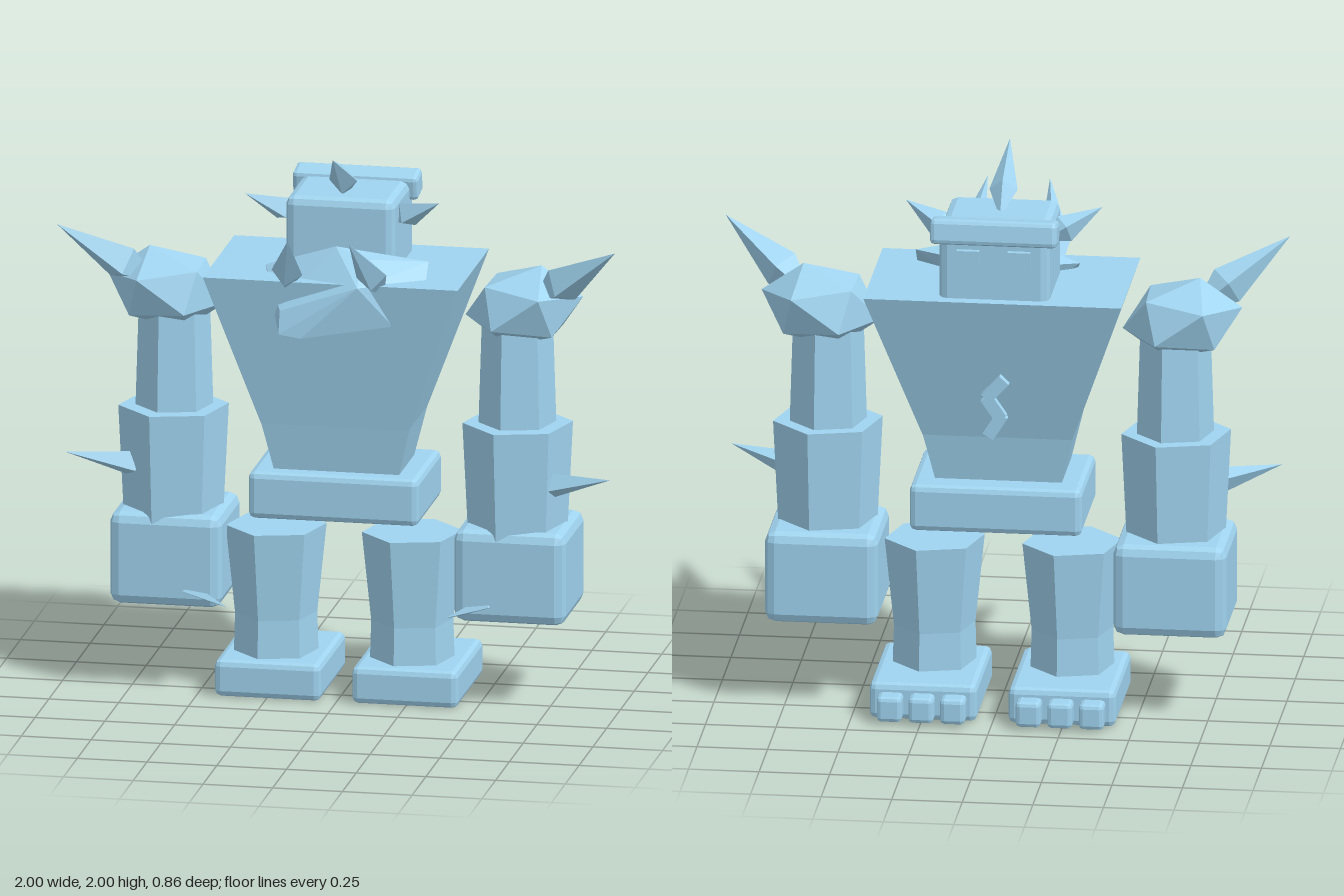
import * as THREE from 'three';
import { RoundedBoxGeometry } from 'three/addons/geometries/RoundedBoxGeometry.js';
import { ConvexGeometry } from 'three/addons/geometries/ConvexGeometry.js';

export function createModel() {
  const model = new THREE.Group();
  model.name = 'stoneGolem';
  const stone = new THREE.MeshStandardMaterial({ color: 0xa0d4f0, flatShading: true });
  const V = (x, y, z) => new THREE.Vector3(x, y, z);

  function add(name, geometry, x = 0, y = 0, z = 0) {
    const mesh = new THREE.Mesh(geometry, stone);
    mesh.name = name;
    mesh.position.set(x, y, z);
    model.add(mesh);
    return mesh;
  }

  // Chamfered block
  const block = (name, w, h, d, bevel, x, y, z) =>
    add(name, new RoundedBoxGeometry(w, h, d, 1, bevel), x, y, z);

  // Box whose top and bottom are given as [halfWidth, zBack, zFront]
  function taperedBox(name, y0, bottom, y1, top) {
    const g = new THREE.BoxGeometry(2, 2, 2);
    const p = g.attributes.position;
    for (let i = 0; i < p.count; i++) {
      const [hw, zb, zf] = p.getY(i) > 0 ? top : bottom;
      p.setXYZ(i, p.getX(i) * hw, p.getY(i) > 0 ? y1 : y0, p.getZ(i) > 0 ? zf : zb);
    }
    g.computeVertexNormals();
    add(name, g);
  }

  // Six-sided limb section
  const limb = (name, rTop, rBottom, y0, y1, x, z) =>
    add(name, new THREE.CylinderGeometry(rTop, rBottom, y1 - y0, 6, 1, false, Math.PI / 4),
      x, (y0 + y1) / 2, z);

  // Four-sided spike, widest a third of the way from its root to its tip
  function spike(name, root, tip, r) {
    const dir = tip.clone().sub(root), len = dir.length();
    const g = new THREE.LatheGeometry([
      new THREE.Vector2(0, 0), new THREE.Vector2(r, len * 0.36), new THREE.Vector2(0, len),
    ], 4);
    const mesh = add(name, g, root.x, root.y, root.z);
    mesh.quaternion.setFromUnitVectors(V(0, 1, 0), dir.normalize());
  }

  // Torso
  taperedBox('chest', 1.01, [0.265, -0.215, 0.12], 1.555, [0.457, -0.365, 0.205]);
  taperedBox('waist', 0.82, [0.22, -0.18, 0.09], 1.02, [0.268, -0.21, 0.115]);
  block('pelvis', 0.61, 0.17, 0.44, 0.022, 0, 0.755, -0.06);

  // Zigzag rune on the chest
  [[-0.005, 1.225, -0.75], [0.0, 1.155, 0.6], [-0.005, 1.09, -0.55]].forEach(([x, y, turn], i) => {
    const rune = add('rune' + i, new THREE.BoxGeometry(0.045, 0.095, 0.03), x, y, -0.317);
    rune.rotation.z = -turn;
  });

  // Head
  block('head', 0.39, 0.36, 0.36, 0.03, 0, 1.64, -0.14);
  block('brow', 0.45, 0.09, 0.1, 0.016, 0, 1.797, -0.293).rotation.x = 0.17;
  spike('crownSpike', V(0, 1.80, -0.14), V(0, 1.995, 0.16), 0.05);

  // Rocky hump on the back
  add('hump', new ConvexGeometry([
    V(0, 1.665, 0.1), V(-0.18, 1.37, 0.235), V(-0.18, 1.45, 0.21), V(0.22, 1.405, 0.18),
    V(0.32, 1.61, 0.04), V(0.32, 1.55, 0.09), V(-0.26, 1.575, 0.06), V(0.1, 1.55, 0.225),
    V(-0.1, 1.36, 0.24), V(0, 1.6, -0.1), V(0, 1.4, 0), V(0.1, 1.63, 0.13),
  ]));

  // Shoulder boulder: a squashed, slightly skewed icosahedron
  function boulder(name, side) {
    const g = new THREE.IcosahedronGeometry(1, 0);
    g.rotateX(0.35).rotateY(side * 0.5).rotateZ(side * 0.35);
    const p = g.attributes.position;
    for (let i = 0; i < p.count; i++) {
      const x = p.getX(i), y = p.getY(i), z = p.getZ(i);
      p.setXYZ(i, 0.215 * x, 0.15 * y + side * 0.02 * x, 0.185 * z);
    }
    g.computeVertexNormals();
    add(name, g, side * 0.64, 1.435, -0.08);
  }

  for (const s of [-1, 1]) {
    const side = s > 0 ? 'left' : 'right';

    // Face and horns
    add(side + 'Eye', new THREE.BoxGeometry(0.08, 0.055, 0.03), s * 0.09, 1.71, -0.325);
    spike(side + 'HeadHorn', V(s * 0.15, 1.71, -0.11), V(s * 0.348, 1.81, -0.01), 0.05);
    spike(side + 'BackSpike', V(s * 0.175, 1.5, 0.11), V(s * 0.11, 1.765, 0.425), 0.055);

    // Arm
    boulder(side + 'Shoulder', s);
    spike(side + 'ShoulderSpike', V(s * 0.67, 1.45, -0.07), V(s, 1.692, 0.1), 0.072);
    limb(side + 'UpperArm', 0.125, 0.138, 0.98, 1.4, s * 0.615, -0.08);
    limb(side + 'Forearm', 0.195, 0.175, 0.6, 1.01, s * 0.617, -0.075);
    spike(side + 'ForearmSpike', V(s * 0.62, 0.78, -0.04), V(s * 0.977, 0.855, 0.07), 0.05);
    block(side + 'Fist', 0.4, 0.335, 0.39, 0.036, s * 0.617, 0.48, -0.1);
    spike(side + 'FistSpike', V(s * 0.62, 0.41, 0.05), V(s * 0.39, 0.33, 0.11), 0.03);

    // Leg
    const legX = s > 0 ? 0.238 : -0.25;
    limb(side + 'Thigh', 0.178, 0.145, 0.27, 0.59, legX, -0.08);
    limb(side + 'Shin', 0.145, 0.15, 0.1, 0.27, legX, -0.08);

    // Foot with three toes
    block(side + 'Foot', 0.38, 0.133, 0.48, 0.022, s * 0.246, 0.0665, -0.13);
    for (let i = -1; i <= 1; i++)
      block(side + 'Toe' + (i + 2), 0.088, 0.092, 0.12, 0.015, s * 0.246 + i * 0.112, 0.056, -0.378);
  }

  return model;
}
